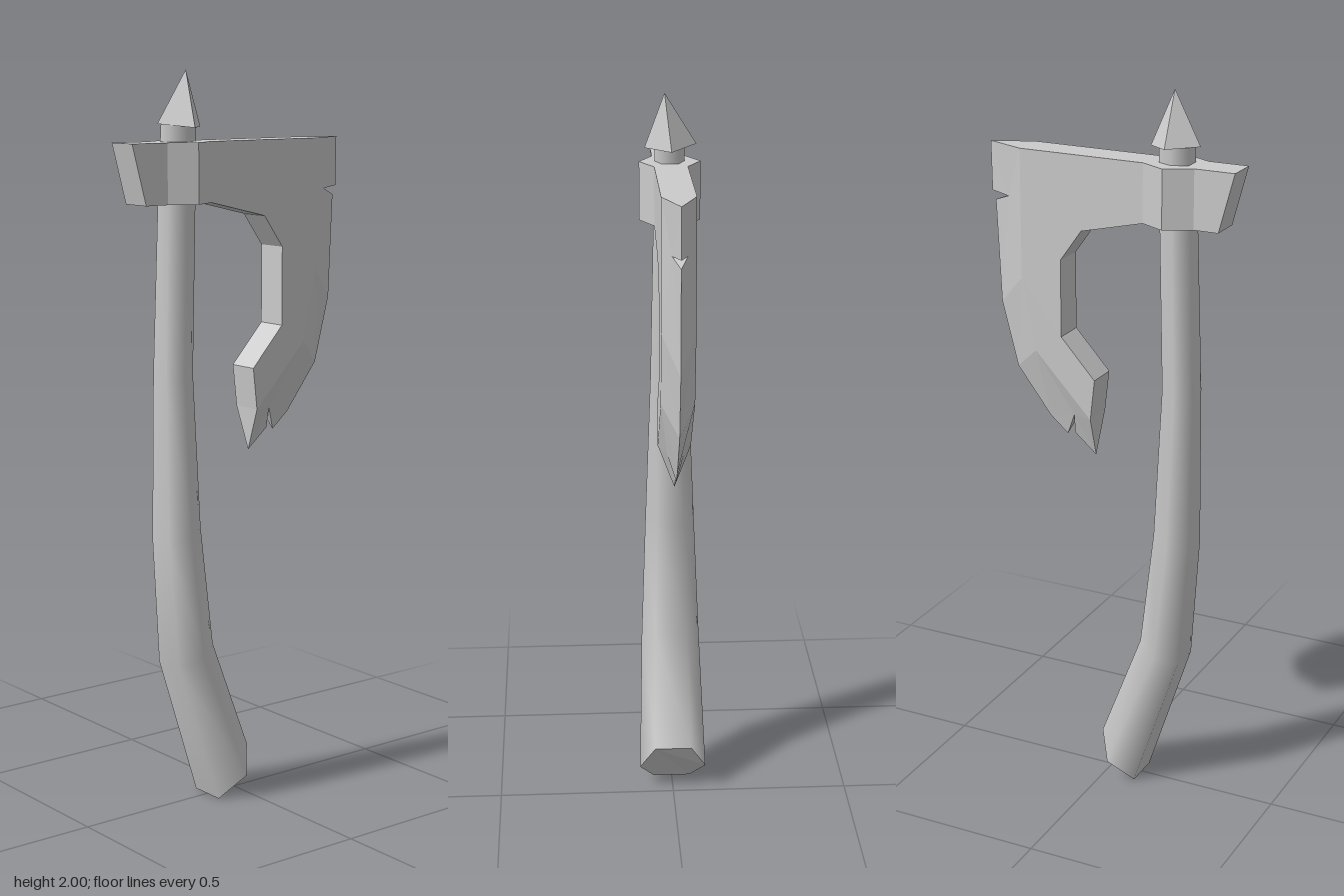
import * as THREE from 'three';

const HALF = 0.045; // half thickness of the axe head

const flat = new THREE.MeshStandardMaterial({ color: 0xcccccc, flatShading: true });
const flatDouble = new THREE.MeshStandardMaterial({ color: 0xcccccc, flatShading: true, side: THREE.DoubleSide });
const smooth = new THREE.MeshStandardMaterial({ color: 0xcccccc });

function addMesh(group, name, geometry, material) {
  const mesh = new THREE.Mesh(geometry, material);
  mesh.name = name;
  group.add(mesh);
  return mesh;
}

function fromPositions(positions, index) {
  const g = new THREE.BufferGeometry();
  g.setAttribute('position', new THREE.Float32BufferAttribute(positions.flat(), 3));
  if (index) g.setIndex(index);
  g.computeVertexNormals();
  return g;
}

// Triangle fan around the first corner
function fan(corners) {
  const out = [];
  for (let i = 1; i < corners.length - 1; i++) out.push(corners[0], corners[i], corners[i + 1]);
  return out;
}

function prism(points, depth) {
  const shape = new THREE.Shape(points.map(([x, y]) => new THREE.Vector2(x, y)));
  return new THREE.ExtrudeGeometry(shape, { depth, bevelEnabled: false });
}

// Curved six-sided handle: back edge, front edge, half width, optional bulge of the side corners
function addHandle(group) {
  const sections = [
    [-0.095, 0.0, 0.005, 0.14, 0.095, 0.015],
    [-0.225, 0.4, -0.11, 0.45, 0.083, 0],
    [-0.25, 0.75, -0.145, 0.78, 0.07, 0],
    [-0.25, 1.2, -0.162, 1.2, 0.053, 0],
    [-0.235, 1.655, -0.148, 1.655, 0.044, 0],
    [-0.225, 1.86, -0.143, 1.86, 0.04, 0],
  ];
  const rings = sections.map(([xl, yl, xr, yr, w, bulge]) => {
    const mx = (xl + xr) / 2 + bulge, my = (yl + yr) / 2 - bulge / 3, h = w * 0.55;
    return [[xr, yr, h], [mx, my, w], [xl, yl, h], [xl, yl, -h], [mx, my, -w], [xr, yr, -h]];
  });
  const index = [];
  for (let i = 0; i < rings.length - 1; i++) {
    for (let k = 0; k < 6; k++) {
      const a = i * 6 + k, b = i * 6 + ((k + 1) % 6), c = b + 6, d = a + 6;
      index.push(a, d, c, a, c, b);
    }
  }
  addMesh(group, 'handle', fromPositions(rings.flat(), index), smooth);
  const ends = [...fan(rings[0]), ...fan([...rings[rings.length - 1]].reverse())];
  addMesh(group, 'handleEnds', fromPositions(ends), flat);
}

// Sharpened bevel, mirrored in z, with two notches cut in the edge
function addCuttingEdge(group) {
  const b = [[0.25, 1.815, HALF], [0.25, 1.46, HALF], [0.21, 1.26, HALF], [0.045, 1.085, HALF]];
  const e = [[0.362, 1.815], [0.36, 1.68], [0.35, 1.655], [0.337, 1.37], [0.29, 1.19],
    [0.19, 1.06], [0.137, 1.015], [0.115, 1.022], [0.05, 0.967]].map(([x, y]) => [x, y, 0]);
  const n1 = [0.3, 1.675, 0.02], n2 = [0.105, 1.083, 0.023];
  const panels = [
    [n1, e[1], e[0], b[0], b[1], e[3], e[2]],
    [b[1], b[2], e[4], e[3]],
    [b[2], e[5], e[4]],
    [n2, e[6], e[5], b[2], b[3], e[8], e[7]],
  ];
  const mirror = ([x, y, z]) => [x, y, -z];
  const tris = [];
  for (const panel of panels) {
    tris.push(...fan(panel), ...fan(panel.map(mirror).reverse().slice(-1).concat(panel.map(mirror).reverse().slice(0, -1))));
  }
  // Notch walls and the end faces of the bevel
  for (const [tip, side] of [[e[1], n1], [e[2], n1], [e[6], n2], [e[7], n2], [e[0], b[0]], [e[8], b[3]]]) {
    tris.push(tip, side, mirror(side));
  }
  addMesh(group, 'cuttingEdge', fromPositions(tris), flatDouble);
}

export function createModel() {
  const model = new THREE.Group();
  model.name = 'axe';
  addHandle(model);

  // Head plate: poll, neck and hooked beard
  const head = new THREE.Group();
  head.name = 'axeHead';
  model.add(head);
  const plate = prism([
    [-0.365, 1.815], [-0.322, 1.655], [-0.11, 1.655], [0.07, 1.612], [0.132, 1.525], [0.132, 1.31],
    [0.032, 1.2], [0.045, 1.085], [0.21, 1.26], [0.25, 1.46], [0.25, 1.815],
  ], HALF * 2);
  plate.translate(0, 0, -HALF);
  addMesh(head, 'headPlate', plate, flat);
  addCuttingEdge(head);

  // Collar around the handle
  const collar = prism([
    [-0.253, -HALF], [-0.181, -0.083], [-0.109, -HALF], [-0.109, HALF], [-0.181, 0.083], [-0.253, HALF],
  ], 0.16);
  collar.rotateX(-Math.PI / 2);
  collar.translate(0, 1.655, 0);
  addMesh(head, 'collar', collar, flat);

  // Four-sided top spike with a slightly leaning tip
  const spike = new THREE.ConeGeometry(0.07, 0.143, 4);
  const p = spike.attributes.position;
  for (let i = 0; i < p.count; i++) {
    if (p.getY(i) > 0) p.setXYZ(i, 0.011, p.getY(i), 0.016);
    else p.setY(i, p.getY(i) - p.getX(i) * 0.07 - p.getZ(i) * 0.07);
  }
  spike.translate(-0.181, 1.9285, -0.002);
  addMesh(model, 'topSpike', spike, flat);

  return model;
}
